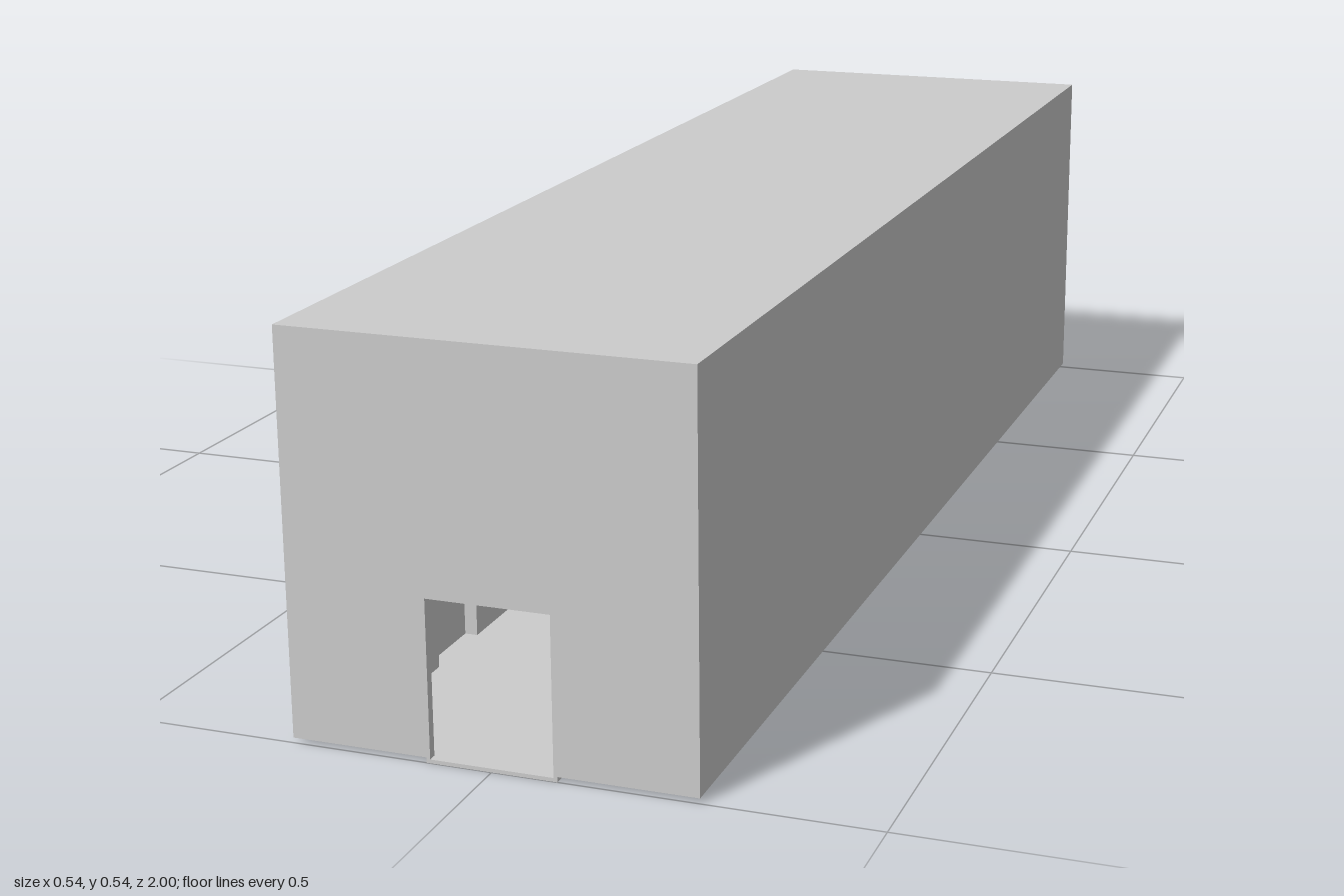
import * as THREE from 'three';

const W = 0.27, TOP = 0.54, BASE = 0.007;           // outer shell
const IN_W = 0.2, IN_Z = 0.988, FLOOR = 0.005, CEIL = 0.5; // inner corridor
const BAY = 0.018, BAYS = [-0.67, 0, 0.67], BAY_HALF = 0.06;
const DOOR_W = 0.087, DOOR_H = 0.217;

const mat = new THREE.MeshStandardMaterial({ color: 0xcccccc, side: THREE.DoubleSide, flatShading: true });

function add(group, name, geo, x = 0, y = 0, z = 0) {
  const m = new THREE.Mesh(geo, mat);
  m.name = name;
  m.position.set(x, y, z);
  group.add(m);
  return m;
}

// Wall with a doorway open at the bottom
function doorWall(halfW, y0, y1) {
  const s = new THREE.Shape();
  [[-halfW, y0], [-DOOR_W, y0], [-DOOR_W, DOOR_H], [DOOR_W, DOOR_H], [DOOR_W, y0],
    [halfW, y0], [halfW, y1], [-halfW, y1]].forEach(([x, y], i) => (i ? s.lineTo(x, y) : s.moveTo(x, y)));
  s.closePath();
  return new THREE.ShapeGeometry(s);
}

// Vertical wall raised along a plan path of [x, z] points
function wallStrip(path, y0, y1) {
  const pos = [];
  for (let i = 0; i < path.length - 1; i++) {
    const [ax, az] = path[i], [bx, bz] = path[i + 1];
    pos.push(ax, y0, az, ax, y1, az, bx, y1, bz, ax, y0, az, bx, y1, bz, bx, y0, bz);
  }
  const g = new THREE.BufferGeometry();
  g.setAttribute('position', new THREE.Float32BufferAttribute(pos, 3));
  g.computeVertexNormals();
  return g;
}

// Plan of one side wall with its shallow bays, running from back to front
function sidePath(side) {
  const p = [[side * IN_W, -IN_Z]];
  for (const c of BAYS) {
    const a = c - BAY_HALF, b = c + BAY_HALF, d = side * (IN_W + BAY);
    p.push([side * IN_W, a], [d, a], [d, b], [side * IN_W, b]);
  }
  p.push([side * IN_W, IN_Z]);
  return p;
}

export function createModel() {
  const model = new THREE.Group();
  model.name = 'corridorBuilding';

  // Outer shell, open underneath
  const shell = new THREE.Group();
  shell.name = 'outerShell';
  model.add(shell);
  add(shell, 'roof', new THREE.PlaneGeometry(2 * W, 2).rotateX(-Math.PI / 2), 0, TOP, 0);
  for (const s of [-1, 1]) {
    add(shell, 'outerSideWall',
      new THREE.PlaneGeometry(2, TOP - BASE).rotateY(s * Math.PI / 2), s * W, (TOP + BASE) / 2, 0);
    const end = add(shell, 'outerEndWall', doorWall(W, BASE, TOP), 0, 0, s);
    if (s < 0) end.rotation.y = Math.PI;
  }

  // Inner corridor floor and ceiling share the bayed plan
  const corridor = new THREE.Group();
  corridor.name = 'innerCorridor';
  model.add(corridor);
  const outline = [...sidePath(1), ...sidePath(-1).reverse()];
  const plan = new THREE.Shape(outline.map(([x, z]) => new THREE.Vector2(x, -z)));
  const slab = new THREE.ShapeGeometry(plan).rotateX(-Math.PI / 2);
  add(corridor, 'floor', slab, 0, FLOOR, 0);
  add(corridor, 'ceiling', slab, 0, CEIL, 0);

  for (const s of [-1, 1]) {
    const path = s > 0 ? sidePath(s) : sidePath(s).reverse();
    add(corridor, 'innerSideWall', wallStrip(path, FLOOR, CEIL));
    const end = add(corridor, 'innerEndWall', doorWall(IN_W, FLOOR, CEIL), 0, 0, s * IN_Z);
    if (s > 0) end.rotation.y = Math.PI;

    // Narrow ledges across each bay
    for (const c of BAYS) {
      for (const y of [0.27, 0.33, 0.35]) {
        add(corridor, 'bayLedge', new THREE.BoxGeometry(BAY, 0.006, 2 * BAY_HALF),
          s * (IN_W + BAY / 2), y, c);
      }
    }
  }

  // Thin frame lining each end doorway, threshold included
  const frame = new THREE.Shape();
  frame.moveTo(-DOOR_W, 0).lineTo(DOOR_W, 0).lineTo(DOOR_W, DOOR_H).lineTo(-DOOR_W, DOOR_H).closePath();
  const hole = new THREE.Path();
  hole.moveTo(-0.082, 0.005).lineTo(-0.082, 0.215).lineTo(0.082, 0.215).lineTo(0.082, 0.005).closePath();
  frame.holes.push(hole);
  const depth = 1 - IN_Z;
  const frameGeo = new THREE.ExtrudeGeometry(frame, { depth, bevelEnabled: false });
  add(model, 'frontDoorFrame', frameGeo, 0, 0, IN_Z);
  add(model, 'backDoorFrame', frameGeo, 0, 0, -1);

  return model;
}
